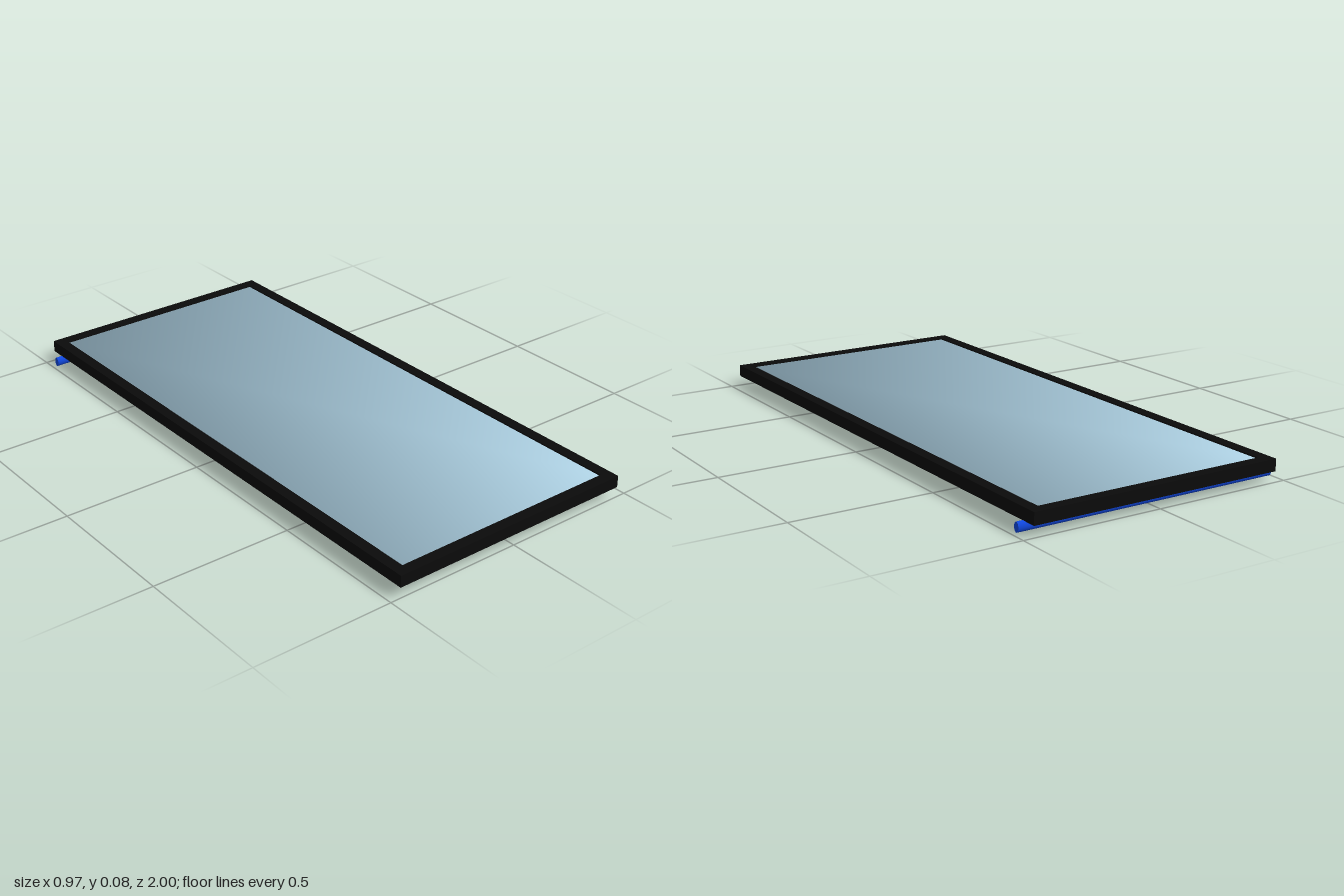
import * as THREE from 'three';

const glassMat = new THREE.MeshStandardMaterial({ color: 0xaccfe1 });
glassMat.name = 'pale blue glass';
const frameMat = new THREE.MeshStandardMaterial({ color: 0x0b0b0b });
frameMat.name = 'black frame';
const railMat = new THREE.MeshStandardMaterial({ color: 0x1048e0 });
railMat.name = 'blue rail';

// Box with soft shared corner normals, taken from a cube and then stretched
function softBox(w, h, d) {
  const pos = [];
  for (const y of [0.5, -0.5]) {
    for (const [x, z] of [[-0.5, -0.5], [-0.5, 0.5], [0.5, 0.5], [0.5, -0.5]]) pos.push(x, y, z);
  }
  const index = [0, 1, 2, 0, 2, 3, 7, 6, 5, 7, 5, 4];
  for (let i = 0; i < 4; i++) {
    const j = (i + 1) % 4;
    index.push(i, i + 4, j, i + 4, j + 4, j);
  }
  const geo = new THREE.BufferGeometry();
  geo.setAttribute('position', new THREE.Float32BufferAttribute(pos, 3));
  geo.setIndex(index);
  geo.computeVertexNormals();
  const p = geo.attributes.position;
  for (let i = 0; i < p.count; i++) p.setXYZ(i, p.getX(i) * w, p.getY(i) * h, p.getZ(i) * d);
  return geo;
}

// Bar along y whose rim normals blend into the end caps
function softBar(radius, length) {
  const geo = new THREE.CylinderGeometry(radius, radius, length, 24);
  const p = geo.attributes.position, n = geo.attributes.normal;
  const v = new THREE.Vector3();
  for (let i = 0; i < p.count; i++) {
    if (Math.abs(n.getY(i)) < 0.5) continue;
    v.set(p.getX(i) / radius, Math.sign(p.getY(i)), p.getZ(i) / radius).normalize();
    n.setXYZ(i, v.x, v.y, v.z);
  }
  return geo;
}

function add(parent, name, geo, mat, x, y, z) {
  const mesh = new THREE.Mesh(geo, mat);
  mesh.name = name;
  mesh.position.set(x, y, z);
  parent.add(mesh);
  return mesh;
}

export function createModel() {
  const model = new THREE.Group();
  model.name = 'glazedPanel';

  // Frame: two long stiles and two short rails
  const frame = new THREE.Group();
  frame.name = 'frame';
  model.add(frame);
  const halfW = 0.463, bar = 0.04, frameY = 0.058, frameH = 0.042;
  for (const s of [-1, 1]) {
    add(frame, s > 0 ? 'leftStile' : 'rightStile',
      new THREE.BoxGeometry(bar, frameH, 2), frameMat, s * (halfW - bar / 2), frameY, 0);
    add(frame, s > 0 ? 'frontFrameRail' : 'backFrameRail',
      new THREE.BoxGeometry(2 * (halfW - bar), frameH, bar), frameMat, 0, frameY, s * (1 - bar / 2));
  }

  // Glass pane inside the frame
  add(model, 'glassPane', softBox(2 * (halfW - bar), 0.028, 2 * (1 - bar)), glassMat, 0, 0.06, 0);

  // Hinge rail across the underside at the back
  const railGeo = new THREE.CylinderGeometry(0.017, 0.017, 0.974, 24);
  railGeo.rotateZ(Math.PI / 2).scale(1, 1, 0.65);
  add(model, 'hingeRail', railGeo, railMat, 0, 0.021, -0.944);

  // Handle under the pane
  add(model, 'handle', softBar(0.017, 0.25).rotateX(Math.PI / 2), glassMat, 0.22, 0.017, 0.016);

  return model;
}
